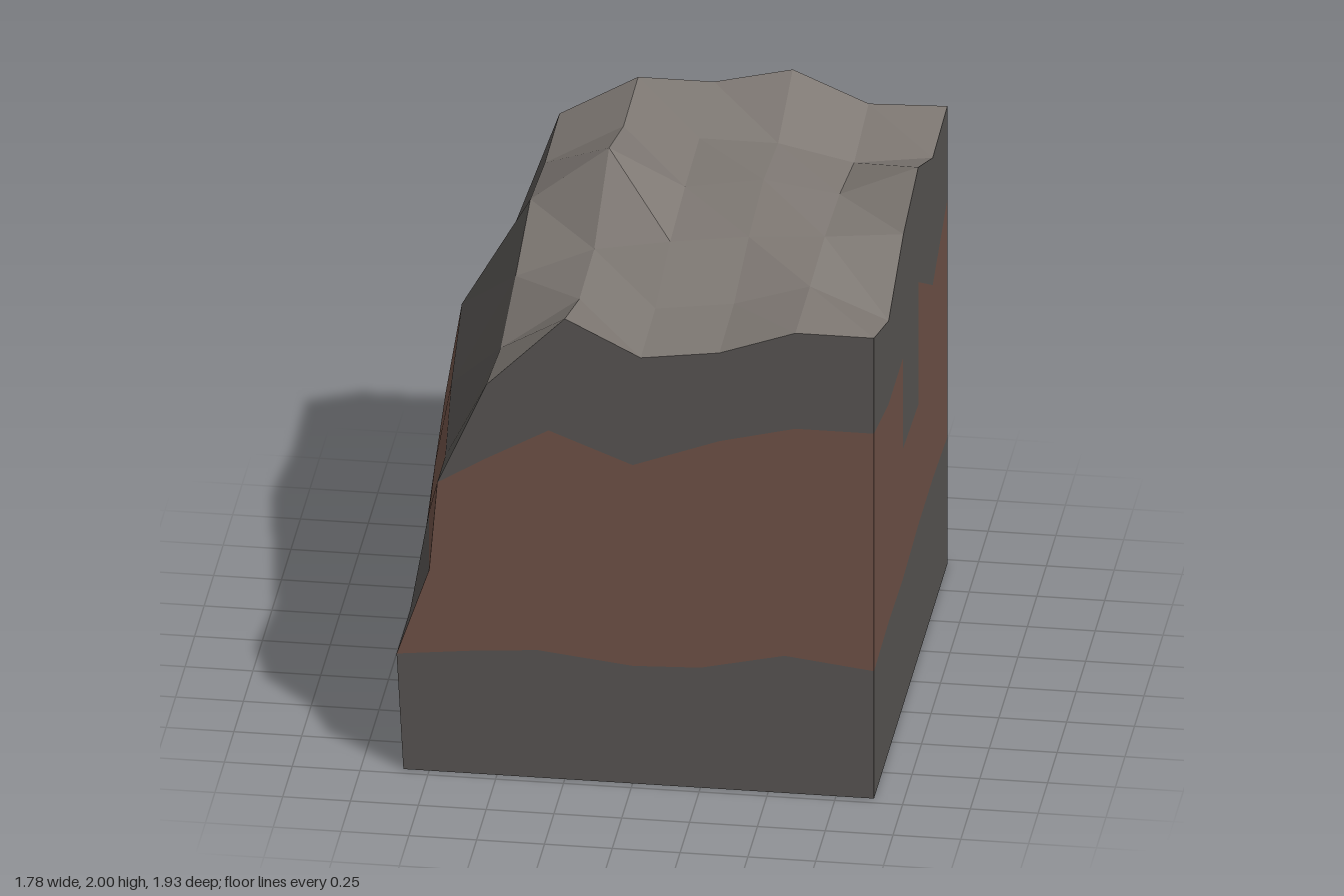
import * as THREE from 'three';

const mat = (name, color) => {
  const m = new THREE.MeshStandardMaterial({ color, side: THREE.DoubleSide, flatShading: true });
  m.name = name;
  return m;
};

const D = 0.965; // half depth
const X = [-0.54, -0.25, 0.03, 0.32, 0.6, 0.89];
const Z = [-D, -0.58, -0.2, 0.19, 0.58, D];

// Top heights, one row per Z from back to front
const H = [
  [1.74, 1.91, 1.91, 1.98, 1.86, 1.87],
  [1.73, 1.90, 1.87, 1.87, 1.81, 1.85],
  [1.77, 2.00, 1.86, 1.91, 1.87, 2.00],
  [1.65, 1.78, 1.83, 1.87, 1.89, 1.92],
  [1.55, 1.77, 1.75, 1.79, 1.88, 1.76],
  [1.59, 1.88, 1.74, 1.78, 1.88, 1.88],
];

// Bulging cliff: [x, y] on three rings per row, and the z of each row
const cliffZ = [-D, -0.7, -0.25, 0.24, 0.61, D];
const cliff = [
  [[-0.86, 0.49], [-0.78, 0.92], [-0.70, 1.29]],
  [[-0.87, 0.49], [-0.83, 0.88], [-0.73, 1.21]],
  [[-0.89, 0.49], [-0.86, 0.93], [-0.80, 1.30]],
  [[-0.88, 0.49], [-0.83, 0.89], [-0.77, 1.22]],
  [[-0.87, 0.47], [-0.80, 0.88], [-0.74, 1.11]],
  [[-0.87, 0.47], [-0.75, 0.82], [-0.72, 1.18]],
];

// Faceted sheet through rows of points, keeping only the wanted cells
function sheet(rows, keep = () => true) {
  const pos = [];
  for (let i = 0; i < rows.length - 1; i++) {
    for (let j = 0; j < rows[i].length - 1; j++) {
      if (!keep(i, j)) continue;
      const a = rows[i][j], b = rows[i + 1][j], c = rows[i + 1][j + 1], d = rows[i][j + 1];
      for (const p of [a, b, c, a, c, d]) pos.push(...p);
    }
  }
  const g = new THREE.BufferGeometry();
  g.setAttribute('position', new THREE.Float32BufferAttribute(pos, 3));
  g.computeVertexNormals();
  return g;
}

// Flat band between a lower and an upper line, both running left to right
function band(lower, upper) {
  const pts = [...lower, ...[...upper].reverse()];
  return new THREE.ShapeGeometry(new THREE.Shape(pts.map(([u, y]) => new THREE.Vector2(u, y))));
}

export function createModel() {
  const model = new THREE.Group();
  model.name = 'rockBlock';
  const rock = mat('darkRock', 0x575452);
  const clay = mat('brownClay', 0x6e5146);
  const crust = mat('paleCrust', 0x807a75);

  const add = (parent, name, geometry, material) => {
    const mesh = new THREE.Mesh(geometry, material);
    mesh.name = name;
    parent.add(mesh);
  };

  // Uneven top
  add(model, 'topSurface', sheet(Z.map((z, i) => X.map((x, j) => [x, H[i][j], z]))), crust);

  // Cliff side, from the ground up to the shoulder
  const rows = Z.map((z, i) => [
    [-0.845, 0, z],
    ...cliff[i].map(([x, y]) => [x, y, cliffZ[i]]),
    [X[0], H[i][0], z],
  ]);
  const isClay = (i, j) => (j === 1 || j === 2) && !(i === 4 && j === 1);
  add(model, 'cliffClay', sheet(rows, isClay), clay);
  add(model, 'cliffRock', sheet(rows, (i, j) => !isClay(i, j)), rock);

  // Cut walls: rock base, clay layer and rock cap
  function wall(name, turn, dist, [ground, low, high, top], edgeStart = [], edgeEnd = []) {
    const g = new THREE.Group();
    g.name = name;
    add(g, name + 'Base', band(ground, low), rock);
    add(g, name + 'Clay', band(low, [...edgeStart, ...high, ...edgeEnd]), clay);
    add(g, name + 'Cap', band(high, top), rock);
    g.rotation.y = turn;
    g.translateZ(dist);
    model.add(g);
  }
  const flip = (line) => line.map(([u, y]) => [-u, y]).reverse();
  const [front, back] = [cliff[5], cliff[0]];

  wall('frontWall', 0, D, [
    [[-0.845, 0], [0.89, 0]],
    [front[0], [-0.6, 0.5], [-0.35, 0.52], [0, 0.48], [0.25, 0.49], [0.56, 0.56], [0.89, 0.52]],
    [front[2], [-0.54, 1.29], [-0.31, 1.42], [0, 1.3], [0.32, 1.42], [0.6, 1.49], [0.89, 1.49]],
    X.map((x, j) => [x, H[5][j]]),
  ], [front[1]]);

  wall('backWall', Math.PI, D, [
    [[-0.845, 0], [0.89, 0]],
    [back[0], [0, 0.5], [0.89, 0.52]],
    [back[2], [-0.32, 1.45], [-0.35, 1.05], [-0.05, 1.03], [-0.02, 1.48], [0.3, 1.43], [0.59, 1.43], [0.89, 1.49]],
    X.map((x, j) => [x, H[0][j]]),
  ].map(flip), [], flip([back[1]]));

  wall('sideWall', Math.PI / 2, 0.89, [
    [[-D, 0], [D, 0]],
    [[-D, 0.52], [-0.58, 0.53], [-0.2, 0.52], [0.2, 0.54], [0.58, 0.54], [D, 0.52]],
    [[-D, 1.49], [-0.58, 1.42], [-0.2, 1.42], [-0.198, 1.05], [0.2, 1.03], [0.202, 1.53], [0.58, 1.33], [D, 1.49]],
    flip(Z.map((z, i) => [z, H[i][5]])),
  ]);

  return model;
}
